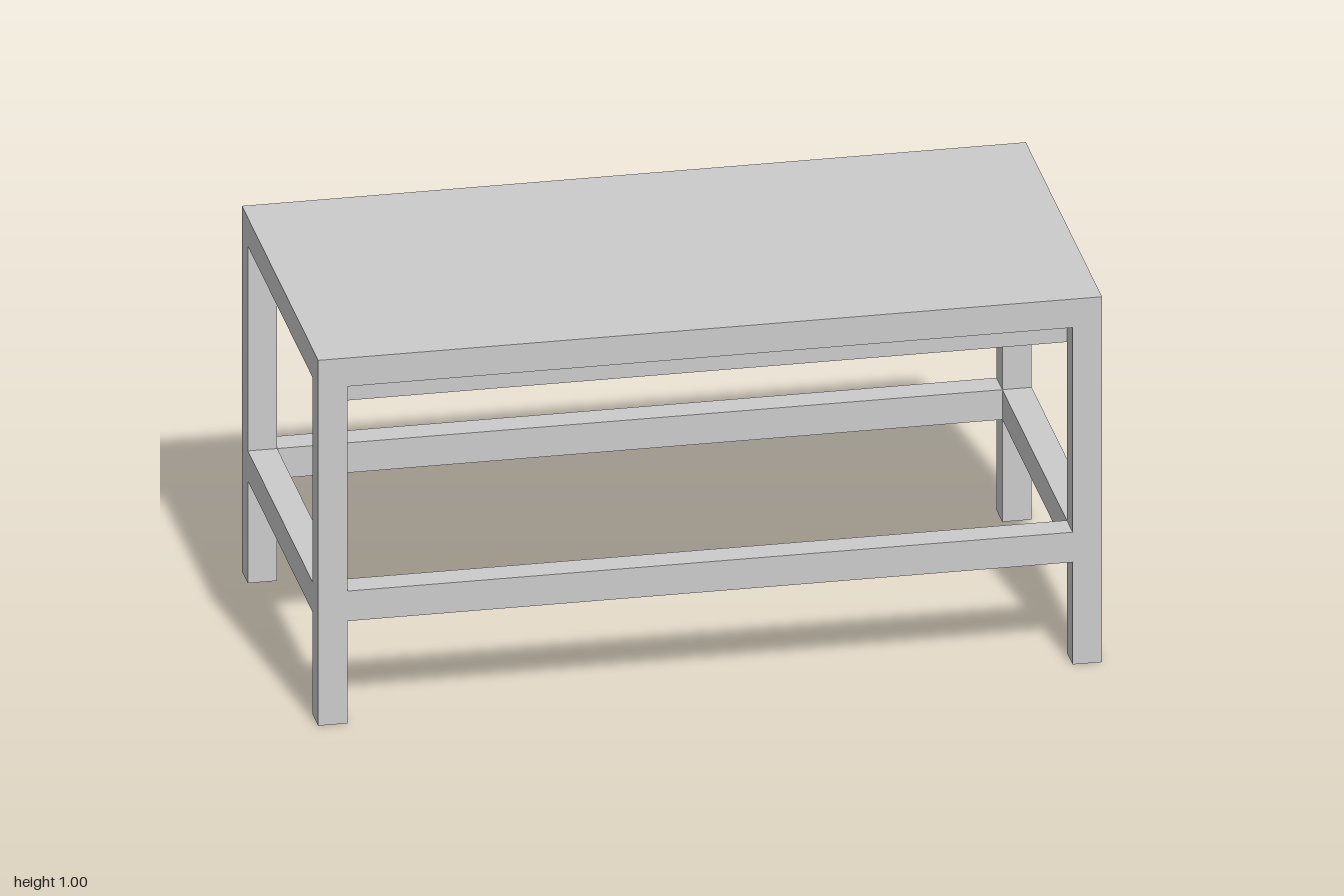
import * as THREE from 'three';

// Main dimensions
const W = 2, D = 0.972, H = 1;
const LEG = 0.075;              // square leg and rail thickness
const TOP_Y = 0.922;            // underside of the table top
const PANEL_Y = 0.85;           // underside of the inset panel
const RAIL_LOW = 0.28, RAIL_HIGH = 0.362;

export function createModel() {
  const group = new THREE.Group();
  group.name = 'table';
  const material = new THREE.MeshStandardMaterial({ color: 0xcccccc });

  // Box centred on (x, z), reaching from y0 to y1
  function box(name, w, d, y0, y1, x = 0, z = 0) {
    const mesh = new THREE.Mesh(new THREE.BoxGeometry(w, y1 - y0, d), material);
    mesh.name = name;
    mesh.position.set(x, (y0 + y1) / 2, z);
    group.add(mesh);
  }

  const innerW = W - 2 * LEG, innerD = D - 2 * LEG;
  const legX = (W - LEG) / 2, legZ = (D - LEG) / 2;

  // Top slab and the smaller panel set in beneath it
  box('tableTop', W, D, TOP_Y, H);
  box('underPanel', innerW, innerD, PANEL_Y, TOP_Y);

  for (const s of [-1, 1]) {
    const side = s > 0 ? 'left' : 'right';
    const end = s > 0 ? 'front' : 'back';

    // Legs
    box(side + 'FrontLeg', LEG, LEG, 0, TOP_Y, s * legX, legZ);
    box(side + 'BackLeg', LEG, LEG, 0, TOP_Y, s * legX, -legZ);

    // Lower rails, flush with the legs
    box(end + 'Rail', innerW, LEG, RAIL_LOW, RAIL_HIGH, 0, s * legZ);
    box(side + 'Rail', LEG, innerD, RAIL_LOW, RAIL_HIGH, s * legX, 0);
  }
  return group;
}
